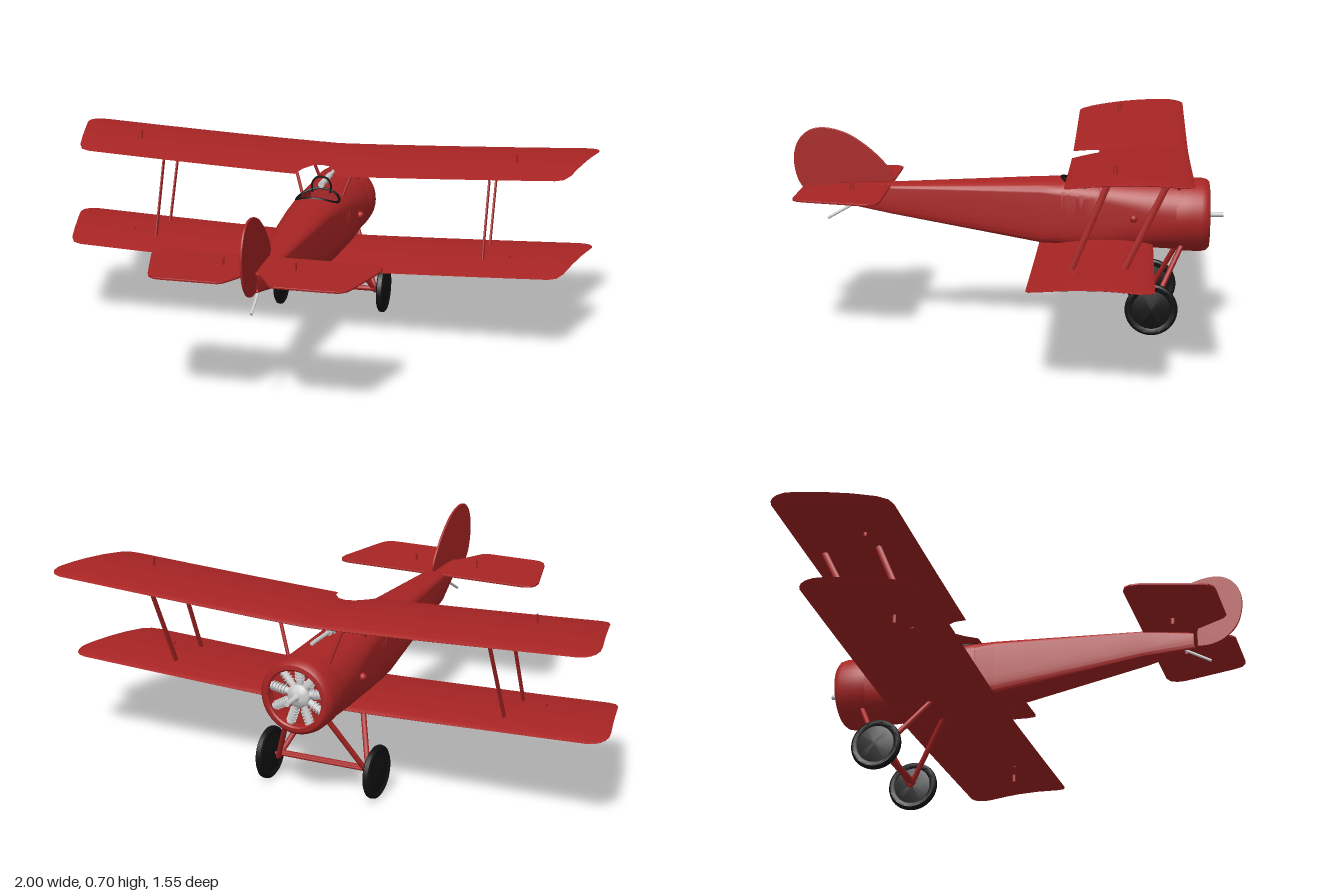
import * as THREE from 'three';
import { toCreasedNormals } from 'three/addons/utils/BufferGeometryUtils.js';

const paint = (color) => new THREE.MeshStandardMaterial({ color, side: THREE.DoubleSide });
const red = paint(0xa82424), black = paint(0x111111), grey = paint(0xcccccc);
const V = (x, y, z) => new THREE.Vector3(x, y, z);

function add(group, name, geo, mat) {
  const mesh = new THREE.Mesh(geo, mat);
  mesh.name = name;
  group.add(mesh);
  return mesh;
}

// Round bar between two points; flat < 1 narrows it sideways
function bar(group, name, a, b, r, mat, flat = 1) {
  const d = b.clone().sub(a);
  const mesh = add(group, name, new THREE.CylinderGeometry(r, r, d.length(), 12), mat);
  mesh.position.copy(a).add(b).multiplyScalar(0.5);
  mesh.quaternion.setFromUnitVectors(V(0, 1, 0), d.normalize());
  mesh.scale.x = flat;
  return mesh;
}

// Skin over rows of points
function skin(rows) {
  const n = rows[0].length, idx = [];
  for (let i = 0; i < rows.length - 1; i++)
    for (let j = 0; j < n - 1; j++) {
      const a = i * n + j, b = a + n;
      idx.push(a, b, a + 1, b, b + 1, a + 1);
    }
  const geo = new THREE.BufferGeometry().setFromPoints(rows.flat());
  geo.setIndex(idx);
  return toCreasedNormals(geo, 0.6);
}

// Lathe turned so its axis runs along z; profile is [radius, z]
function latheZ(profile, seg = 40) {
  const geo = new THREE.LatheGeometry(profile.map(([r, z]) => new THREE.Vector2(r, -z)), seg);
  return toCreasedNormals(geo.rotateX(-Math.PI / 2), 0.6);
}

// Fuselage stations: z, half width, bottom, widest height, top, squareness of the lower half
const stations = [
  [-0.65, 0.126, 0.273, 0.4, 0.53, 2], [-0.5, 0.12, 0.285, 0.42, 0.533, 3],
  [-0.35, 0.108, 0.295, 0.455, 0.535, 7], [-0.12, 0.085, 0.302, 0.485, 0.531, 9],
  [0.42, 0.045, 0.395, 0.488, 0.505, 9], [0.595, 0.006, 0.425, 0.475, 0.487, 6]];

function sectionPoint(z, t) {
  let i = 0;
  while (i < stations.length - 2 && z > stations[i + 1][0]) i++;
  const p = stations[i], q = stations[i + 1], f = (z - p[0]) / (q[0] - p[0]);
  const [, w, yb, ym, yt, n] = p.map((v, k) => v + (q[k] - v) * f);
  const c = Math.cos(t), s = Math.sin(t), e = s > 0 ? 1 : 2 / n;
  const pow = (v) => Math.sign(v) * Math.abs(v) ** e;
  return V(w * pow(c), ym + (s > 0 ? yt - ym : ym - yb) * pow(s), z);
}

function fuselage(group) {
  const zc = -0.262, half = 0.07, zs = [];
  for (const s of stations) zs.push(s[0]);
  for (let i = 0; i <= 20; i++) zs.push(zc - half * Math.cos(Math.PI * i / 20));
  zs.sort((a, b) => a - b);
  // Each section opens at the top by this angle inside the cockpit
  const gap = (z) => 0.93 * Math.sqrt(Math.max(0, 1 - ((z - zc) / half) ** 2));
  const rows = zs.map((z) => Array.from({ length: 49 }, (_, j) => {
    const a = gap(z);
    return sectionPoint(z, Math.PI / 2 + a + (2 * Math.PI - 2 * a) * j / 48);
  }));
  add(group, 'fuselage', skin(rows), red);

  const rim = [];
  for (let i = 0; i < 40; i++) {
    const t = i / 40 * Math.PI * 2, z = zc + half * Math.cos(t);
    rim.push(sectionPoint(z, Math.PI / 2 + Math.sign(Math.sin(t)) * gap(z)));
  }
  add(group, 'cockpitRim', new THREE.TubeGeometry(new THREE.CatmullRomCurve3(rim, true), 80, 0.005, 6, true), black);

  const arch = [[-0.034, 0.52], [-0.036, 0.55], [-0.022, 0.574], [0, 0.58], [0.022, 0.574], [0.036, 0.55], [0.034, 0.52]];
  const curve = new THREE.CatmullRomCurve3(arch.map(([x, y]) => V(x, y, -0.326)));
  add(group, 'windscreenFrame', new THREE.TubeGeometry(curve, 30, 0.004, 6), black);
}

// Wing tip outline: x, leading and trailing edge measured back from the leading edge line
const tip = [[0.2, 0, 0.41], [0.4, 0, 0.41], [0.6, 0, 0.41], [0.75, 0, 0.41], [0.88, 0, 0.41], [0.91, 0, 0.4],
  [0.93, 0, 0.365], [0.95, 0, 0.285], [0.97, 0.006, 0.2], [0.985, 0.018, 0.14], [0.995, 0.035, 0.1], [1, 0.06, 0.07]];

function wing(group, name, z0, yFront, yBack, rise, root) {
  const right = [...root, ...tip];
  const all = [...right.slice(1).reverse().map(([x, a, b]) => [-x, a, b]), ...right];
  const m = 14;
  const rows = all.map(([x, le, te]) => {
    const u = Math.abs(x), chord = (te - le) / 0.41;
    const thick = u === 1 ? 0 : 0.026 * (1 - 0.5 * u) * Math.min(1, chord + 0.1);
    return Array.from({ length: 2 * m + 1 }, (_, j) => {
      const k = Math.abs(j - m) / m, s = (1 - Math.cos(Math.PI * k)) / 2;   // 0 = nose, 1 = tail
      const d = le + (te - le) * s, g = d / 0.41;
      const body = thick * 1.3 * Math.sqrt(s) * (1 - s) + 0.002 * Math.sqrt(s) * (1 - k);
      const y = yFront + (yBack - yFront) * g + rise * u ** 1.2 + 0.06 * g * (1 - g);
      return V(x, y + (j < m ? body : -body), z0 + d);
    });
  });
  add(group, name, skin(rows), red);
}

function tail(group) {
  const opts = { depth: 0.004, bevelEnabled: true, bevelSize: 0.002, bevelThickness: 0.002, bevelSegments: 2, curveSegments: 30 };
  const half = [[0.36, 0.423], [0.385, 0.433], [0.397, 0.455], [0.397, 0.485], [0.345, 0.68], [0.333, 0.71],
    [0.312, 0.726], [0.29, 0.729], [0.095, 0.729], [0.078, 0.718], [0.018, 0.61]];
  const outline = [...half, ...half.map(([x, z]) => [-x, z]).reverse()];
  const plane = new THREE.Shape(outline.map(([x, z]) => new THREE.Vector2(x, z)));
  add(group, 'tailplane', new THREE.ExtrudeGeometry(plane, opts).rotateX(Math.PI / 2).translate(0, 0.497, 0), red);

  const fin = new THREE.Shape();
  fin.moveTo(0.425, 0.507);
  fin.splineThru([[0.418, 0.525], [0.435, 0.56], [0.5, 0.625], [0.58, 0.678], [0.66, 0.699], [0.72, 0.688], [0.76, 0.645],
    [0.773, 0.58], [0.755, 0.505], [0.71, 0.455], [0.66, 0.434], [0.61, 0.432]].map(([z, y]) => new THREE.Vector2(z, y)));
  fin.lineTo(0.61, 0.5);
  fin.lineTo(0.55, 0.505);
  add(group, 'finAndRudder', new THREE.ExtrudeGeometry(fin, opts).rotateY(-Math.PI / 2).translate(0.002, 0, 0), red);
  bar(group, 'tailSkid', V(0, 0.43, 0.55), V(0, 0.37, 0.655), 0.005, grey);
}

function engine(group) {
  add(group, 'cowling', latheZ([[0.126, -0.6], [0.131, -0.63], [0.131, -0.69], [0.127, -0.708], [0.117, -0.718],
    [0.103, -0.72], [0.098, -0.715], [0.1, -0.705], [0.12, -0.69], [0.12, -0.645], [0, -0.645]]), red).position.y = 0.4;
  add(group, 'crankcase', latheZ([[0.04, -0.64], [0.04, -0.69], [0.03, -0.7], [0.012, -0.705], [0.009, -0.712], [0.009, -0.77], [0, -0.77]], 24), grey).position.y = 0.4;
  for (let i = 0; i < 9; i++) {
    const a = i / 9 * Math.PI * 2, at = (r) => V(Math.sin(a) * r, 0.4 + Math.cos(a) * r, -0.675);
    bar(group, 'engineCylinder', at(0.03), at(0.112), 0.012, grey);
    for (let k = 0; k < 5; k++) bar(group, 'coolingFin', at(0.055 + k * 0.011), at(0.059 + k * 0.011), 0.017, grey);
  }
}

function landingGear(group) {
  const z = -0.515, y = 0.097;
  bar(group, 'axle', V(-0.222, y, z), V(0.222, y, z), 0.006, red);
  bar(group, 'spreaderBar', V(-0.17, y, z + 0.012), V(0.17, y, z + 0.012), 0.01, red);
  for (const s of [-1, 1]) {
    for (const top of [-0.36, -0.62]) bar(group, 'gearLeg', V(s * 0.075, 0.3, top), V(s * 0.172, 0.085, z), 0.0095, red);
    const wheel = latheZ([[0, -0.02], [0.012, -0.02], [0.068, -0.009], [0.074, -0.013], [0.084, -0.013], [0.091, -0.008],
      [0.093, 0], [0.091, 0.008], [0.084, 0.013], [0.074, 0.013], [0.068, 0.009], [0.012, 0.02], [0, 0.02]]);
    add(group, 'wheel', wheel.rotateY(Math.PI / 2), black).position.set(s * 0.203, y, z);
  }
}

export function createModel() {
  const plane = new THREE.Group();
  plane.name = 'biplane';
  fuselage(plane);
  engine(plane);
  // Upper wing has a cutout above the cockpit
  wing(plane, 'upperWing', -0.64, 0.627, 0.609, 0.045, [[0, 0, 0.31], [0.03, 0, 0.32], [0.06, 0, 0.36], [0.078, 0, 0.41]]);
  wing(plane, 'lowerWing', -0.52, 0.3, 0.285, 0.036, [[0, 0, 0.41]]);
  tail(plane);
  landingGear(plane);

  // Machine gun on the nose decking
  bar(plane, 'gunBody', V(0, 0.55, -0.32), V(0, 0.55, -0.46), 0.012, grey);
  bar(plane, 'gunBarrel', V(0, 0.55, -0.46), V(0, 0.55, -0.585), 0.007, grey);
  bar(plane, 'gunMount', V(0, 0.525, -0.42), V(0, 0.55, -0.42), 0.006, grey);

  for (const s of [-1, 1]) {
    // Wing struts
    bar(plane, 'wingStrut', V(s * 0.625, 0.315, -0.24), V(s * 0.625, 0.647, -0.377), 0.011, red, 0.4);
    bar(plane, 'wingStrut', V(s * 0.625, 0.322, -0.415), V(s * 0.625, 0.653, -0.575), 0.011, red, 0.4);
    bar(plane, 'centreStrut', V(s * 0.075, 0.5, -0.61), V(s * 0.12, 0.63, -0.585), 0.006, red);
    bar(plane, 'centreStrut', V(s * 0.075, 0.5, -0.34), V(s * 0.12, 0.63, -0.375), 0.006, red);
    // Control horns and side fairings
    bar(plane, 'tailHorn', V(s * 0.125, 0.468, 0.545), V(s * 0.125, 0.526, 0.545), 0.007, red, 0.4);
    bar(plane, 'upperHorn', V(s * 0.72, 0.64, -0.39), V(s * 0.72, 0.698, -0.39), 0.006, red, 0.4);
    bar(plane, 'lowerHorn', V(s * 0.72, 0.293, -0.275), V(s * 0.72, 0.345, -0.275), 0.006, red, 0.4);
    const bump = add(plane, 'sideFairing', new THREE.SphereGeometry(0.014, 16, 10), red);
    bump.position.set(s * 0.122, 0.405, -0.45);
  }
  return plane;
}
